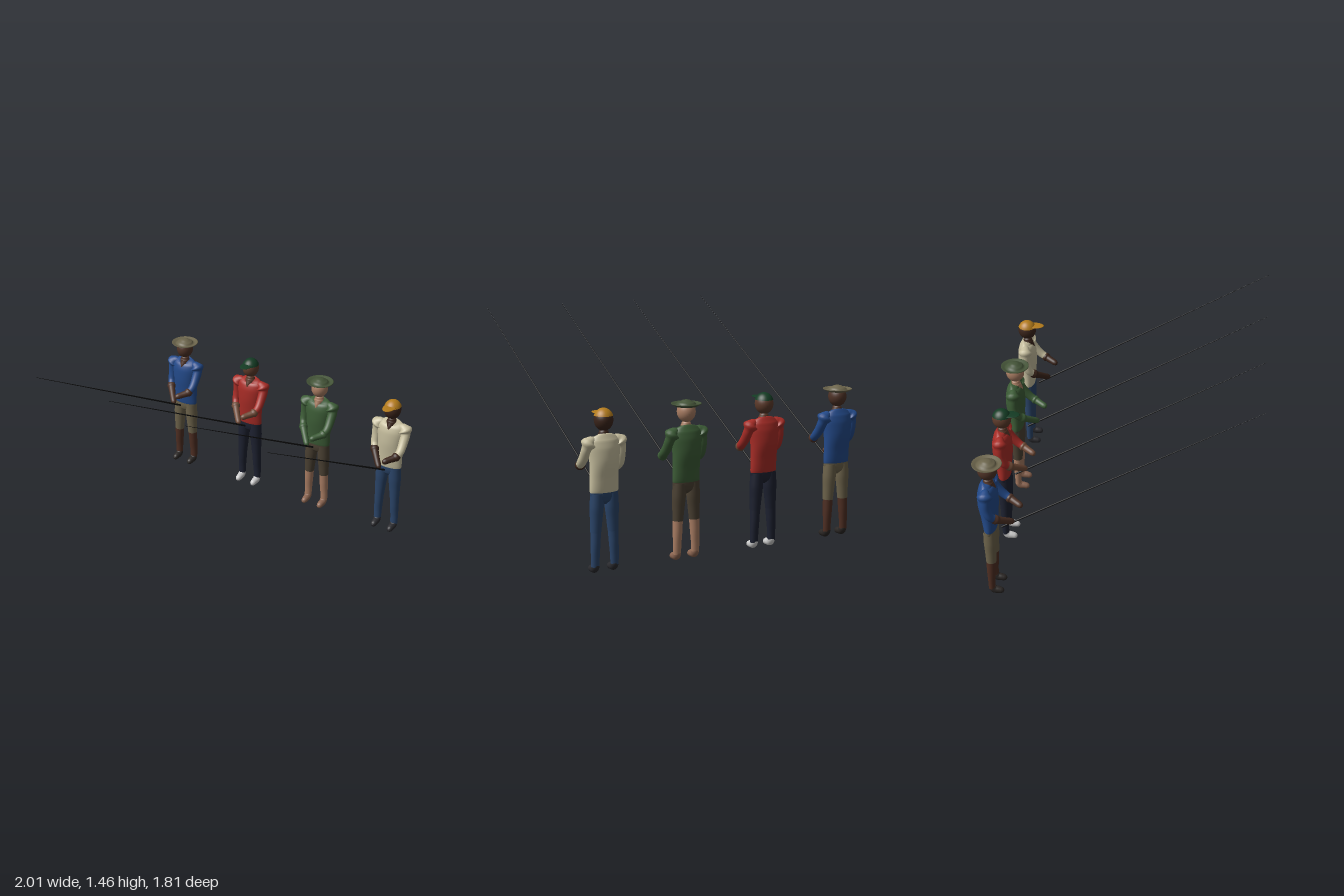
import * as THREE from 'three';
import { mergeVertices } from 'three/addons/utils/BufferGeometryUtils.js';

// Smooth limb through points [x, y, z, rx, rz]; rz defaults to rx
function limb(points, rings = 28, sides = 20) {
  const path = new THREE.CatmullRomCurve3(points.map(p => new THREE.Vector3(p[0], p[1], p[2])));
  const radii = new THREE.CatmullRomCurve3(points.map(p => new THREE.Vector3(p[3], p[4] ?? p[3], 0)));
  path.getPointAt = t => path.getPoint(t);
  path.getTangentAt = t => path.getTangent(t);
  const geo = new THREE.TubeGeometry(path, rings, 1, sides);
  const pos = geo.attributes.position;
  const v = new THREE.Vector3();
  for (let i = 0; i < pos.count; i++) {
    const t = Math.floor(i / (sides + 1)) / rings;
    const c = path.getPoint(t), r = radii.getPoint(t);
    const rx = Math.max(r.x, 0.0005), rz = Math.max(r.y, 0.0005);
    v.fromBufferAttribute(pos, i).sub(c);
    pos.setXYZ(i, c.x + v.x * rx, c.y + v.y * (rx + rz) / 2, c.z + v.z * rz);
  }
  geo.deleteAttribute('uv');
  geo.deleteAttribute('normal');
  const merged = mergeVertices(geo, 1e-5);
  merged.computeVertexNormals();
  return merged;
}

function lathe(profile) {
  const pts = profile.map(p => new THREE.Vector2(p[0], p[1]));
  return new THREE.LatheGeometry(pts, 32);
}

function createAngler(look) {
  const angler = new THREE.Group();
  const add = (name, geo, color, side = THREE.FrontSide) => {
    const mesh = new THREE.Mesh(geo, new THREE.MeshStandardMaterial({ color, side }));
    mesh.name = name;
    angler.add(mesh);
    return mesh;
  };

  // Shirt
  add('torso', limb([
    [0, 0.49, 0, 0.08, 0.035], [0, 0.51, 0, 0.094, 0.044], [0, 0.6, -0.002, 0.093, 0.054],
    [0, 0.7, -0.006, 0.096, 0.067], [0, 0.78, -0.006, 0.104, 0.064], [0, 0.825, -0.006, 0.1, 0.052],
    [0, 0.848, -0.004, 0.078, 0.038], [0, 0.862, 0, 0.035, 0.028], [0, 0.868, 0, 0.001],
  ], 40, 28), look.shirt);

  // Neck with open collar, and head
  add('neck', limb([
    [0, 0.79, 0.05, 0.004], [0, 0.82, 0.026, 0.02, 0.025], [0, 0.85, 0.003, 0.037, 0.034],
    [0, 0.88, 0, 0.028], [0, 0.92, 0, 0.028],
  ]), look.skin);
  const head = add('head', new THREE.SphereGeometry(1, 28, 20), look.skin);
  head.scale.set(0.058, 0.067, 0.063);
  head.position.y = 0.948;

  // Hips join the two legs
  add('hips', limb([
    [0, 0.43, 0, 0.03, 0.01], [0, 0.455, 0, 0.075, 0.036], [0, 0.49, 0, 0.092, 0.043],
    [0, 0.515, 0, 0.093, 0.043], [0, 0.53, 0, 0.06, 0.03],
  ], 20, 28), look.trousers);

  for (const s of [-1, 1]) {
    const side = s > 0 ? 'left' : 'right';
    add(side + 'Thigh', limb([
      [s * 0.048, 0.5, 0, 0.042], [s * 0.051, 0.42, 0, 0.044, 0.042], [s * 0.055, 0.34, 0, 0.039, 0.037],
      [s * 0.059, 0.26, 0, 0.034, 0.033],
    ]), look.trousers);
    add(side + 'Shin', limb([
      [s * 0.059, 0.265, 0, 0.033, 0.032], [s * 0.062, 0.19, -0.002, 0.031, 0.03],
      [s * 0.065, 0.11, -0.004, 0.028, 0.024], [s * 0.066, 0.045, -0.004, 0.026, 0.022],
    ]), look.shin);
    add(side + 'Shoe', limb([
      [s * 0.065, 0.064, -0.004, 0.02], [s * 0.065, 0.048, -0.003, 0.026, 0.024], [s * 0.065, 0.031, 0.009, 0.026],
      [s * 0.064, 0.026, 0.034, 0.024], [s * 0.064, 0.022, 0.056, 0.021], [s * 0.064, 0.021, 0.069, 0.014],
      [s * 0.064, 0.021, 0.075, 0.001],
    ]), look.shoe);
  }

  // Left arm reaches forward, right arm crosses the belly to hold the rod
  add('leftSleeve', limb([
    [0.06, 0.832, -0.005, 0.02], [0.092, 0.822, -0.005, 0.034], [0.108, 0.79, 0, 0.034],
    [0.112, 0.73, 0.035, 0.031], [0.113, 0.68, 0.08, 0.028], [0.105, 0.66, 0.112, 0.025],
  ]), look.shirt);
  add('leftForearm', limb([
    [0.11, 0.666, 0.098, 0.025], [0.098, 0.655, 0.125, 0.025], [0.075, 0.648, 0.158, 0.022],
    [0.058, 0.643, 0.183, 0.021], [0.048, 0.64, 0.198, 0.014], [0.044, 0.639, 0.204, 0.001],
  ]), look.forearm);
  add('rightSleeve', limb([
    [-0.06, 0.832, -0.005, 0.02], [-0.092, 0.822, -0.005, 0.034], [-0.108, 0.79, -0.005, 0.034],
    [-0.112, 0.72, 0, 0.031], [-0.111, 0.665, 0.018, 0.028], [-0.095, 0.635, 0.048, 0.025],
  ]), look.shirt);
  add('rightForearm', limb([
    [-0.104, 0.646, 0.036, 0.025], [-0.085, 0.624, 0.06, 0.025], [-0.05, 0.594, 0.1, 0.022],
    [-0.02, 0.568, 0.132, 0.021], [-0.006, 0.557, 0.146, 0.016], [0.002, 0.551, 0.155, 0.001],
  ]), look.forearm);

  if (look.cap) {
    // Cap with visor
    const crown = add('capCrown', new THREE.SphereGeometry(1, 28, 12, 0, Math.PI * 2, 0, Math.PI * 0.38),
      look.hat, THREE.DoubleSide);
    crown.scale.set(0.062, 0.073, 0.066);
    crown.position.y = 0.948;
    const visor = add('capVisor', new THREE.SphereGeometry(1, 24, 10), look.hat);
    visor.scale.set(0.042, 0.006, 0.068);
    visor.position.set(0, 0.985, 0.054);
  } else {
    // Round hat with a slightly upturned brim
    add('sunHat', lathe([
      [0.094, 0.995], [0.096, 0.999], [0.092, 1.001], [0.075, 0.993], [0.062, 0.99], [0.058, 1.0],
      [0.048, 1.008], [0.036, 1.01], [0.03, 1.017], [0.016, 1.021], [0, 1.022],
    ]), look.hat, THREE.DoubleSide);
    add('hatUnderside', lathe([[0.05, 0.978], [0.066, 0.98], [0.094, 0.995]]), look.hat, THREE.DoubleSide);
  }

  // Tapered fishing rod
  const butt = new THREE.Vector3(0, 0.502, 0.072), tip = new THREE.Vector3(0.033, 1.46, 1.71);
  const along = tip.clone().sub(butt);
  const rod = add('fishingRod', new THREE.CylinderGeometry(0.0012, 0.0065, along.length(), 10), 0x101010);
  rod.position.copy(butt).add(tip).multiplyScalar(0.5);
  rod.quaternion.setFromUnitVectors(new THREE.Vector3(0, 1, 0), along.normalize());
  return angler;
}

export function createModel() {
  const model = new THREE.Group();
  model.name = 'anglers';
  const looks = [
    { skin: 0x4e3226, forearm: 0x4e3226, shirt: 0x234a8a, trousers: 0x6c624a, shin: 0x4e2e22, shoe: 0x2a2624, hat: 0x6c654c },
    { skin: 0x5c3a2a, forearm: 0x704a36, shirt: 0xa82c26, trousers: 0x1d2130, shin: 0x1d2130, shoe: 0xc0c0c0, hat: 0x143c24, cap: true },
    { skin: 0xa87c62, forearm: 0x3c5c36, shirt: 0x3c5c36, trousers: 0x4a4032, shin: 0xa87c62, shoe: 0x8a6450, hat: 0x445438 },
    { skin: 0x3a241a, forearm: 0x3a241a, shirt: 0xc6be9e, trousers: 0x2a4468, shin: 0x2a4468, shoe: 0x2a2a2e, hat: 0xb47c1c, cap: true },
  ];
  looks.forEach((look, i) => {
    const angler = createAngler(look);
    angler.name = 'angler' + (i + 1);
    angler.position.set((i - 1.5) * 0.572, 0, -0.805);
    model.add(angler);
  });
  return model;
}
